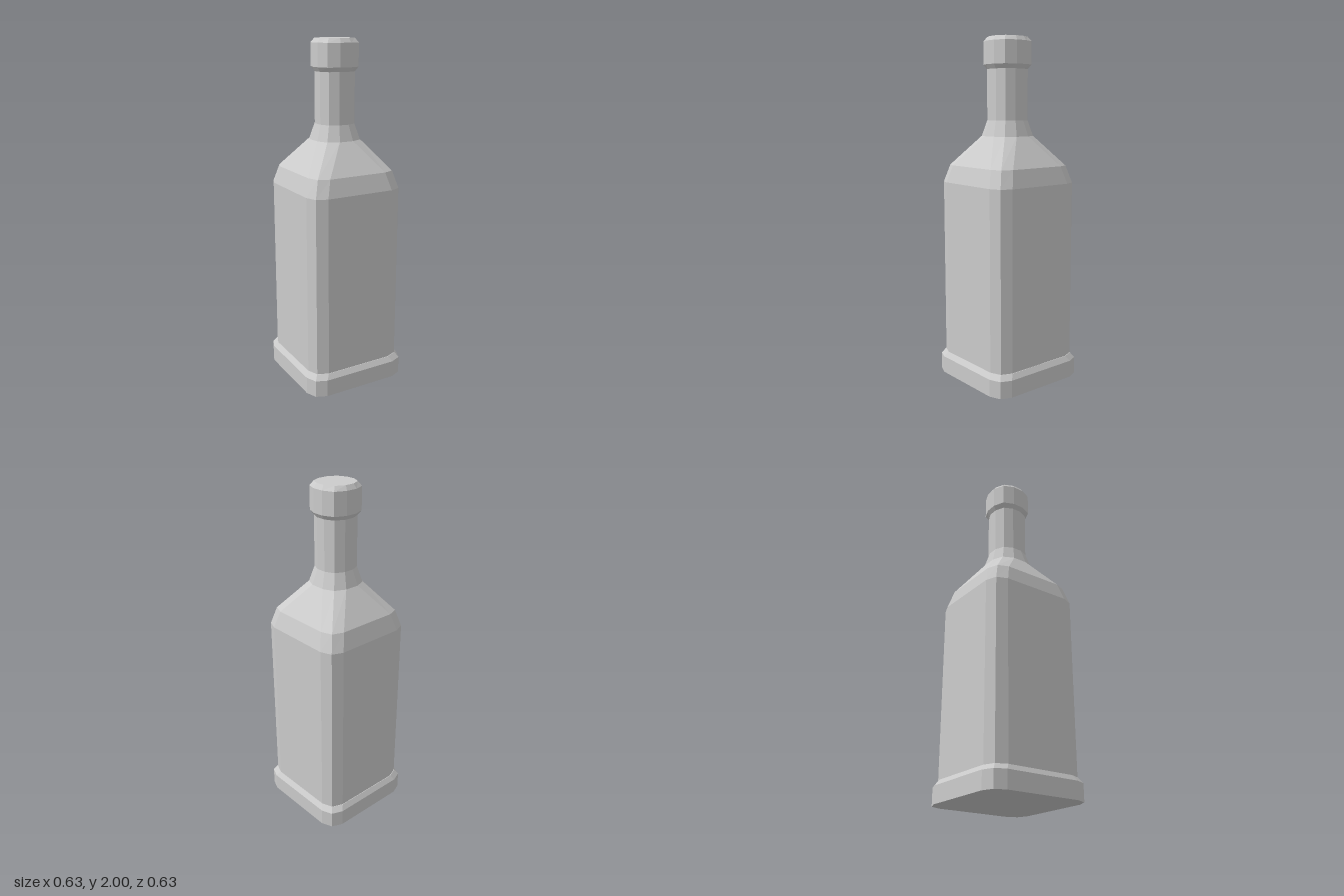
import * as THREE from 'three';

// Twelve-sided rounded square: h = half width, e = half flat side, d = corner on the diagonal
function ring([y, h, e, d]) {
  const points = [];
  for (let q = 0; q < 4; q++) {
    for (let [x, z] of [[h, -e], [h, e], [d, d]]) {
      for (let k = 0; k < q; k++) [x, z] = [-z, x];
      points.push([x, y, z]);
    }
  }
  return points;
}

// Joins the rings from bottom to top, with optional end faces
function loft(name, sections, material, { bottom = false, top = false } = {}) {
  const rings = sections.map(ring);
  const n = rings[0].length;
  const positions = [];
  const tri = (a, b, c) => positions.push(...a, ...b, ...c);
  for (let r = 0; r < rings.length - 1; r++) {
    const lower = rings[r], upper = rings[r + 1];
    for (let i = 0; i < n; i++) {
      const j = (i + 1) % n;
      tri(lower[i], upper[i], lower[j]);
      tri(lower[j], upper[i], upper[j]);
    }
  }
  const first = rings[0], last = rings[rings.length - 1];
  for (let i = 1; i < n - 1; i++) {
    if (bottom) tri(first[0], first[i], first[i + 1]);
    if (top) tri(last[0], last[i + 1], last[i]);
  }
  const geometry = new THREE.BufferGeometry();
  geometry.setAttribute('position', new THREE.Float32BufferAttribute(positions, 3));
  geometry.computeVertexNormals();
  const mesh = new THREE.Mesh(geometry, material);
  mesh.name = name;
  return mesh;
}

export function createModel() {
  const group = new THREE.Group();
  group.name = 'bottle';
  const material = new THREE.MeshStandardMaterial({ color: 0xcccccc, flatShading: true });

  // Sections shared by neighbouring parts: [y, h, e, d]
  const bodyFoot = [0.13, 0.293, 0.205, 0.268];
  const bodyTop = [1.17, 0.293, 0.205, 0.268];
  const neckFoot = [1.44, 0.135, 0.043, 0.106];
  const neckTop = [1.82, 0.108, 0.029, 0.083];

  group.add(
    // Wider foot with a chamfered top edge
    loft('base', [
      [0, 0.315, 0.226, 0.289],
      [0.1, 0.315, 0.226, 0.289],
      [0.13, 0.296, 0.207, 0.27],
      bodyFoot,
    ], material, { bottom: true }),
    // Straight square body
    loft('body', [bodyFoot, bodyTop], material),
    // Shoulder tapering to the neck
    loft('shoulder', [bodyTop, [1.27, 0.264, 0.177, 0.24], neckFoot], material),
    // Slim neck with a flared foot
    loft('neck', [neckFoot, [1.53, 0.108, 0.029, 0.083], neckTop], material),
    // Cap, bevelled at both ends
    loft('cap', [
      neckTop,
      [1.845, 0.125, 0.034, 0.098],
      [1.975, 0.125, 0.034, 0.098],
      [2, 0.108, 0.027, 0.082],
    ], material, { top: true }),
  );
  return group;
}
